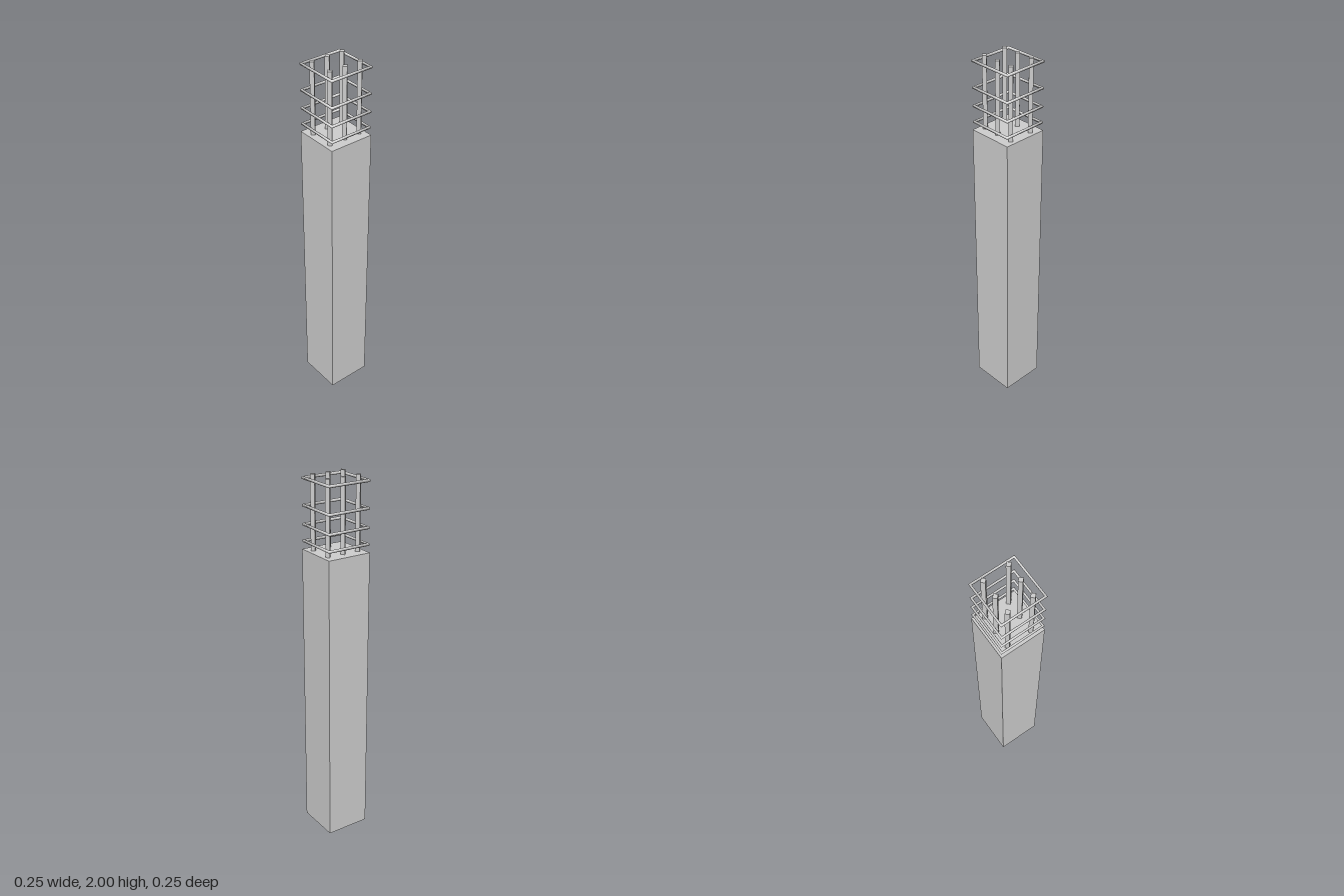
import * as THREE from 'three';

export function createModel() {
  const model = new THREE.Group();
  model.name = 'concreteColumn';
  const grey = new THREE.MeshStandardMaterial({ color: 0xcccccc });
  const flatGrey = new THREE.MeshStandardMaterial({ color: 0xcccccc, flatShading: true });

  const add = (name, geometry, material, x, y, z) => {
    const mesh = new THREE.Mesh(geometry, material);
    mesh.name = name;
    mesh.position.set(x, y, z);
    model.add(mesh);
  };

  // Square concrete shaft
  const top = 1.612, width = 0.246;
  add('shaft', new THREE.BoxGeometry(width, top, width), grey, 0, top / 2, 0);

  // Two rows of four-sided reinforcing bars rising out of the shaft
  const barHeight = 2 - top;
  const bar = new THREE.CylinderGeometry(0.0155, 0.0155, barHeight, 4);
  for (const z of [-0.065, 0.068]) {
    for (const x of [-0.09, 0, 0.09]) add('reinforcingBar', bar, flatGrey, x, top + barHeight / 2, z);
  }

  // Square stirrups: four-segment tori turned to line up with the shaft
  const stirrup = new THREE.TorusGeometry(0.1645, 0.008, 8, 4);
  stirrup.rotateZ(Math.PI / 4).rotateX(-Math.PI / 2);
  for (const y of [1.655, 1.741, 1.838, 1.975]) add('stirrup', stirrup, grey, 0, y, 0);

  return model;
}
